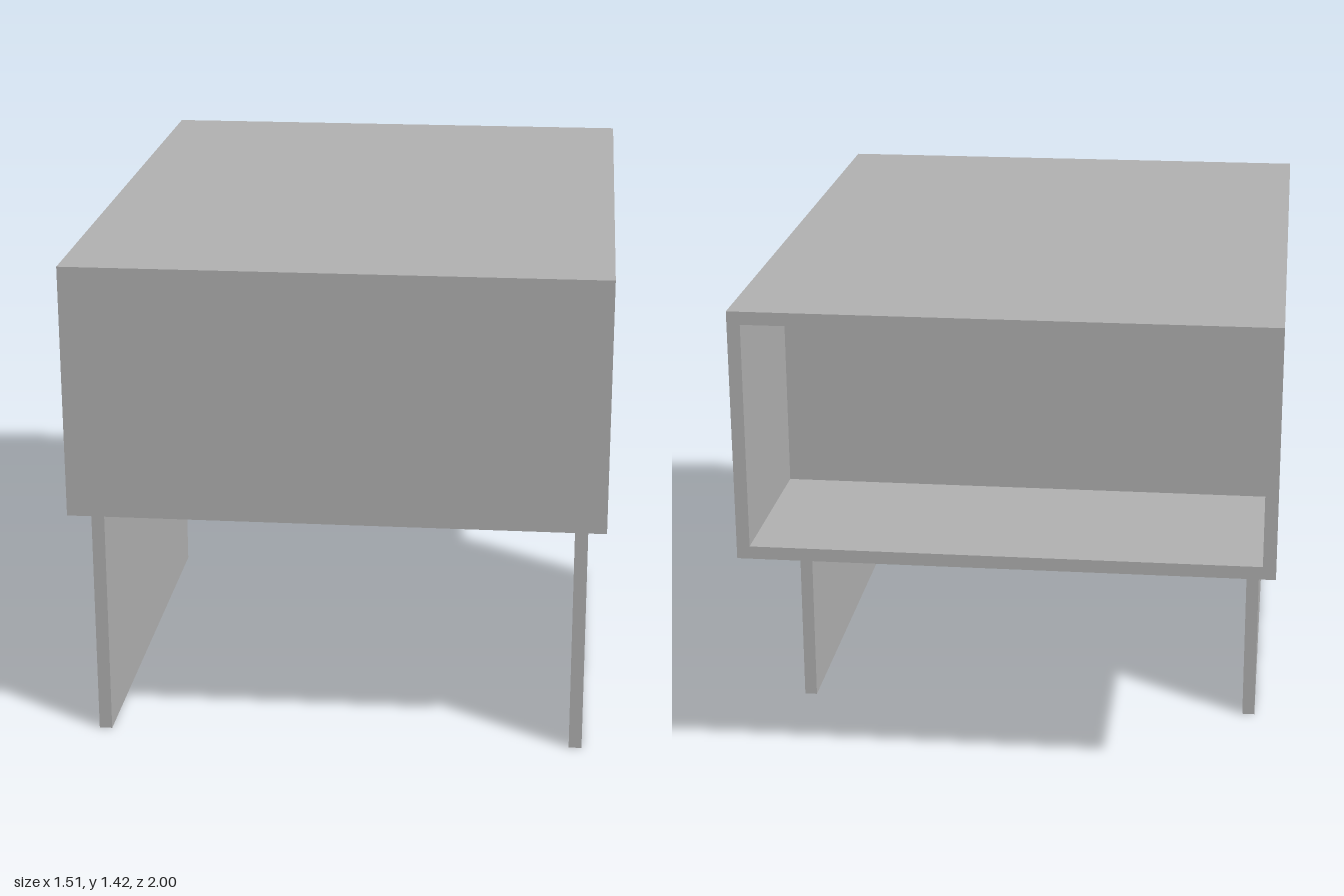
import * as THREE from 'three';

export function createModel() {
  const group = new THREE.Group();
  const grey = new THREE.MeshStandardMaterial({ color: 0xb2b2b2 });
  grey.name = 'grey board';

  const T = 0.037;                        // board thickness
  const W = 0.755, BOTTOM = 0.695, TOP = 1.417;
  const LEG_IN = 0.667, LEG_BACK = -0.412, LEG_FRONT = 0.918;

  // Board given by its two extreme corners
  function board(name, [x0, y0, z0], [x1, y1, z1]) {
    const mesh = new THREE.Mesh(new THREE.BoxGeometry(x1 - x0, y1 - y0, z1 - z0), grey);
    mesh.position.set((x0 + x1) / 2, (y0 + y1) / 2, (z0 + z1) / 2);
    mesh.name = name;
    group.add(mesh);
  }

  // Floor with a rectangular opening between the legs
  const shape = new THREE.Shape();
  shape.moveTo(-W, -1).lineTo(W, -1).lineTo(W, 1).lineTo(-W, 1).closePath();
  const hole = new THREE.Path();
  hole.moveTo(-LEG_IN, LEG_BACK).lineTo(-LEG_IN, LEG_FRONT)
    .lineTo(LEG_IN, LEG_FRONT).lineTo(LEG_IN, LEG_BACK).closePath();
  shape.holes.push(hole);
  const floorGeometry = new THREE.ExtrudeGeometry(shape, { depth: T, bevelEnabled: false });
  floorGeometry.rotateX(Math.PI / 2);     // shape y becomes z
  const floor = new THREE.Mesh(floorGeometry, grey);
  floor.position.y = BOTTOM + T;
  floor.name = 'floor';
  group.add(floor);

  // Case: top, front and sides, open at the back
  const low = BOTTOM + T, high = TOP - T, inner = W - T;
  board('top', [-W, high, -1], [W, TOP, 1]);
  board('frontPanel', [-inner, low, 1 - T], [inner, high, 1]);
  board('leftSide', [inner, low, -1], [W, high, 1]);
  board('rightSide', [-W, low, -1], [-inner, high, 1]);

  // Upright dividers inside the case
  board('backDivider', [-inner, low, LEG_BACK - T], [inner, high, LEG_BACK]);
  board('middleDivider', [-inner, low, 0.18], [inner, high, 0.18 + T]);

  // Panel legs
  board('leftLeg', [LEG_IN, 0, LEG_BACK], [LEG_IN + T, BOTTOM, LEG_FRONT]);
  board('rightLeg', [-LEG_IN - T, 0, LEG_BACK], [-LEG_IN, BOTTOM, LEG_FRONT]);

  return group;
}
